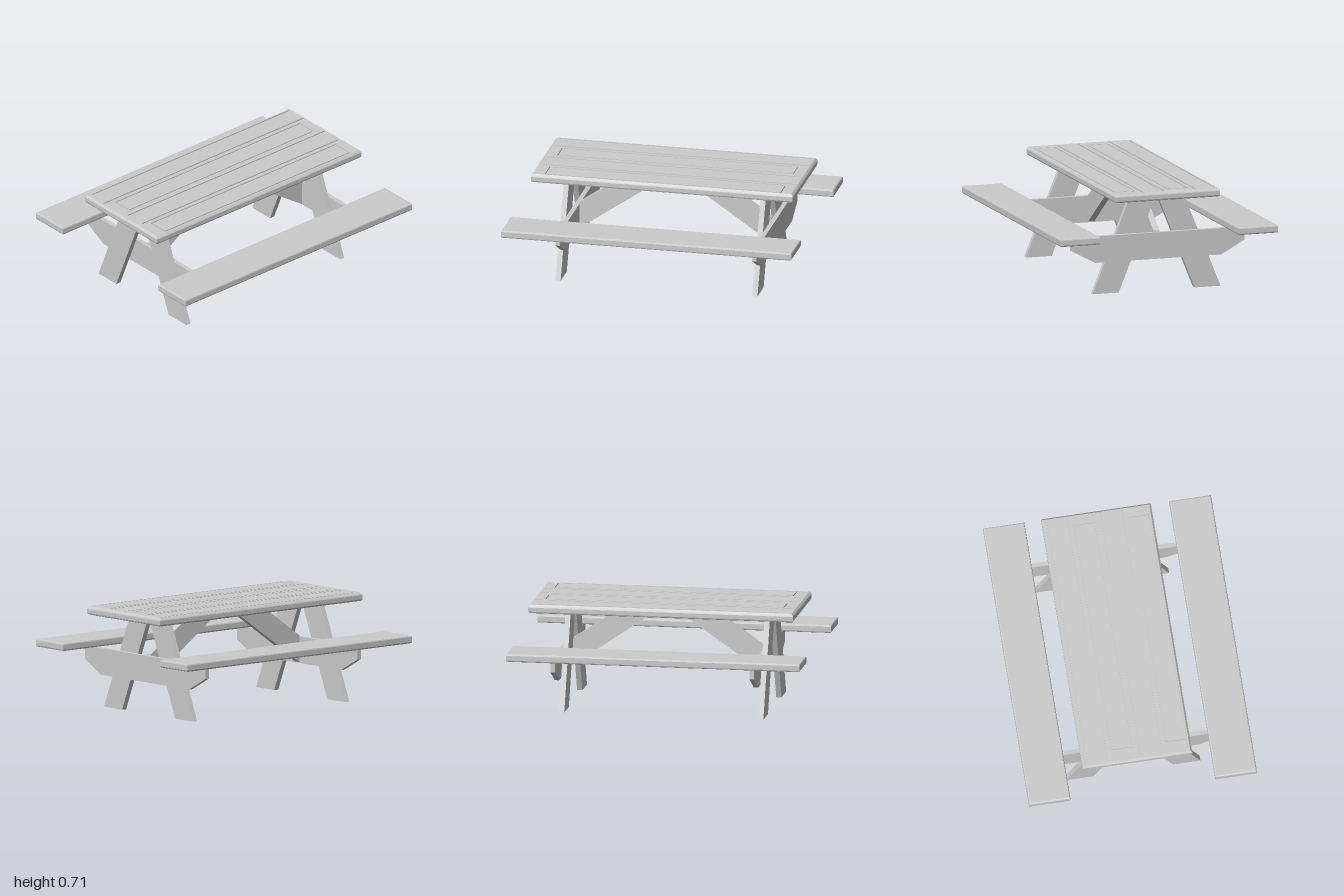
import * as THREE from 'three';

const material = new THREE.MeshStandardMaterial({ color: 0xcccccc, flatShading: true });
const CX = -0.019; // centre line of the table and its frame

function add(parent, name, geometry) {
  const mesh = new THREE.Mesh(geometry, material);
  mesh.name = name;
  parent.add(mesh);
  return mesh;
}

const toShape = (points) => new THREE.Shape(points.map(([x, y]) => new THREE.Vector2(x, y)));
const rect = (x0, x1, z0, z1) => [[x0, -z0], [x0, -z1], [x1, -z1], [x1, -z0]];

// Flat outline in x/y, given thickness from z0 to z1
function plate(points, z0, z1) {
  return new THREE.ExtrudeGeometry(toShape(points), { depth: z1 - z0, bevelEnabled: false }).translate(0, 0, z0);
}

// Horizontal board with eased edges
function board(x0, x1, y0, y1, z0, z1, b) {
  const g = new THREE.ExtrudeGeometry(toShape(rect(x0 + b, x1 - b, z0 + b, z1 - b)), {
    depth: y1 - y0 - 2 * b, bevelSize: b, bevelThickness: b, bevelSegments: 2,
  });
  return g.rotateX(-Math.PI / 2).translate(0, y0 + b, 0);
}

// Grooved upper layer: slits are cut out, its lower rim flares out as a chamfer
function groovedDeck(x0, x1, y0, y1, z0, z1, c, slits, panels) {
  const w = 0.005;
  const shape = toShape(rect(x0 + c, x1 - c, z0 + c, z1 - c));
  const cut = (...r) => shape.holes.push(toShape(rect(...r)));
  slits.forEach(([x, a, b]) => cut(x - w, x + w, a, b));
  panels.forEach(([a, b, e, f]) => cut(a, b, e, f));
  const g = new THREE.ExtrudeGeometry(shape, { depth: y1 - y0, bevelEnabled: false });
  g.rotateX(-Math.PI / 2).translate(0, y0, 0);
  const p = g.attributes.position;
  for (let i = 0; i < p.count; i++) {
    if (p.getY(i) > y0 + 1e-4) continue;
    const x = p.getX(i), z = p.getZ(i);
    if (x < x0 + c + 1e-4) p.setX(i, x0);
    if (x > x1 - c - 1e-4) p.setX(i, x1);
    if (z < z0 + c + 1e-4) p.setZ(i, z0);
    if (z > z1 - c - 1e-4) p.setZ(i, z1);
  }
  g.computeVertexNormals();
  return g;
}

function createTop() {
  const top = new THREE.Group();
  top.name = 'tableTop';
  const [x0, x1, z0, z1] = [-0.393, 0.352, -0.912, 0.89];
  add(top, 'topSlab', board(x0, x1, 0.656, 0.707, z0, z1, 0.012));

  const slits = [[-0.365, -0.885, 0.85], [-0.225, -0.895, 0.87], [0, -0.895, 0.85], [0.147, -0.885, 0.85]];
  const panels = [[-0.19, -0.045, -0.83, 0.8], [0.18, 0.33, -0.83, 0.8]];
  add(top, 'plankSurface', groovedDeck(x0, x1, 0.701, 0.715, z0, z1, 0.012, slits, panels));

  // Inlaid panels, separated from the planks by a narrow groove
  for (const [a, b, e, f] of panels) {
    const s = 0.008;
    add(top, 'inlaidPanel', plate(rect(a + s, b - s, e + s, f - s), 0.701, 0.715).rotateX(-Math.PI / 2));
  }
  return top;
}

// Splayed leg pair with a cross beam on its rear side
function createTrestle(z) {
  const trestle = new THREE.Group();
  trestle.name = 'trestle';
  for (const side of [1, -1]) {
    const outline = [[0.27, 0], [0.455, 0], [0.187, 0.657], [0.003, 0.657]].map(([x, y]) => [CX + side * x, y]);
    add(trestle, side > 0 ? 'leftLeg' : 'rightLeg', plate(outline, 0, 0.036));
  }
  const beam = [[-0.615, 0.4], [-0.615, 0.31], [-0.448, 0.22], [0.448, 0.22], [0.615, 0.31], [0.615, 0.4]];
  add(trestle, 'crossBeam', plate(beam.map(([x, y]) => [CX + x, y]), -0.031, 0));
  trestle.position.z = z;
  return trestle;
}

// Diagonal brace from a cross beam up to the table top
function createBrace(dir, foot) {
  const mid = -0.0195;
  const outline = [[foot, 0.225], [0.078, 0.627], [0.078, 0.647], [0.115, 0.658], [0.295, 0.658], [foot, 0.407]];
  const g = plate(outline.map(([z, y]) => [mid + dir * z, y]), 0, 0.044);
  return g.rotateY(-Math.PI / 2).translate(CX + 0.022, 0, 0);
}

export function createModel() {
  const model = new THREE.Group();
  model.name = 'picnicTable';
  model.add(createTop());

  // Benches
  add(model, 'leftBench', board(0.491, 0.774, 0.4, 0.453, -1, 1, 0.01));
  add(model, 'rightBench', board(-0.774, -0.493, 0.4, 0.453, -1, 1, 0.01));

  // Frame
  model.add(createTrestle(0.667), createTrestle(-0.689));
  add(model, 'frontBrace', createBrace(1, 0.658));
  add(model, 'backBrace', createBrace(-1, 0.668));
  return model;
}
